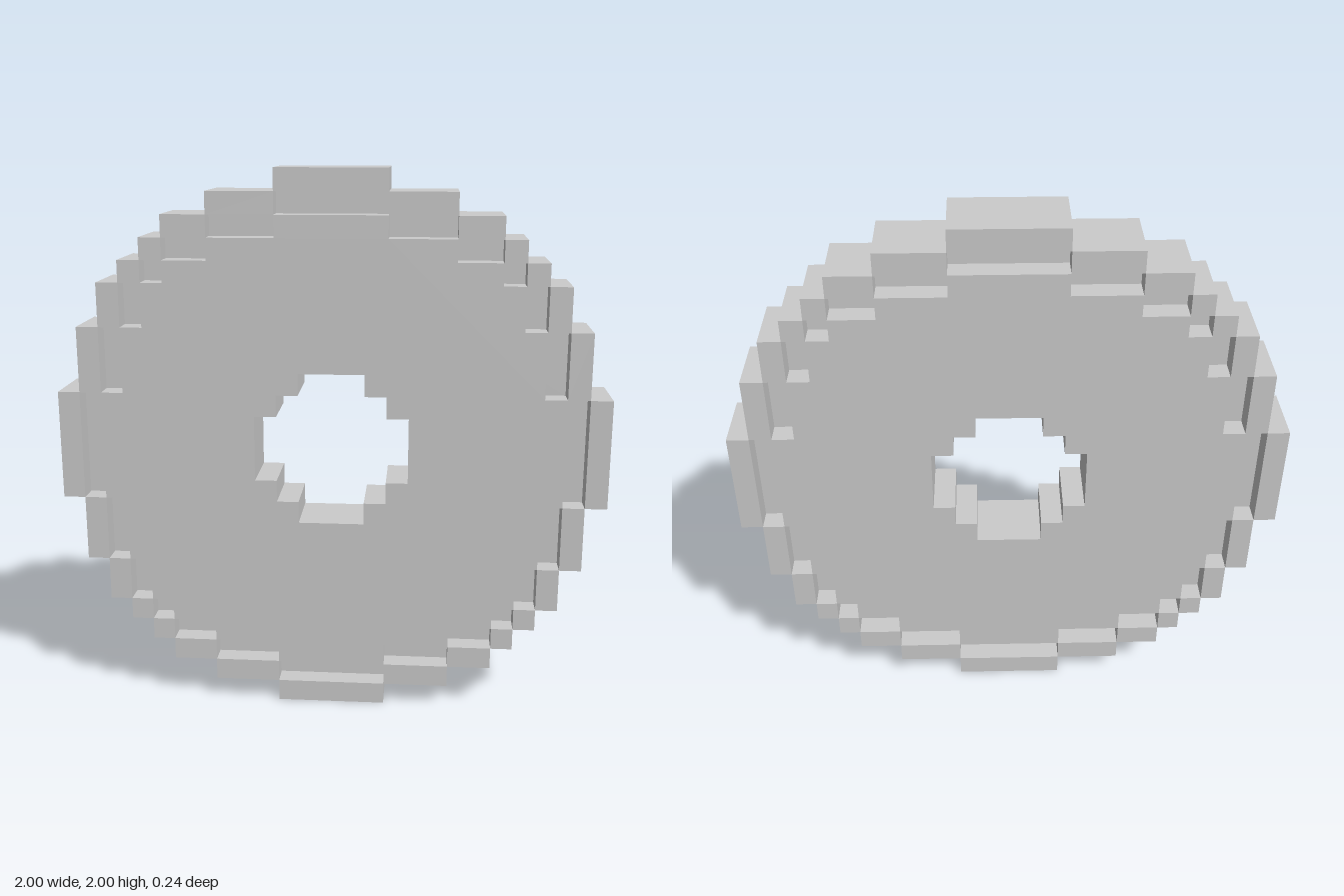
import * as THREE from 'three';

const material = new THREE.MeshStandardMaterial({ color: 0xcccccc, flatShading: true });
const WIDTH = 0.24;
const CENTRE_Y = 1;

// Stair-step outline corners: these half-widths pair with themselves in reverse as half-heights
const RIM = [0.2, 0.44, 0.6, 0.68, 0.76, 0.84, 0.92, 1];
const WEB = [0.2, 0.44, 0.6, 0.68, 0.76, 0.84, 0.92];
const DISC = [0.2, 0.44, 0.6, 0.68, 0.76, 0.84];
const HUB = [0.12, 0.2, 0.28];

// Closed stepped outline, symmetrical in all four quadrants
function steppedOutline(steps) {
  const n = steps.length;
  const quarter = [];
  for (let i = n - 1; i >= 0; i--) {
    quarter.push([steps[i], steps[n - 1 - i]]);
    if (i > 0) quarter.push([steps[i - 1], steps[n - 1 - i]]);
  }
  const points = [];
  for (let q = 0; q < 4; q++) {
    for (const [x, y] of quarter) {
      const p = [[x, y], [-y, x], [-x, -y], [y, -x]][q];
      points.push(new THREE.Vector2(p[0], p[1]));
    }
  }
  return points;
}

// Plate of a given thickness with a hole, centred on z = 0
function plate(name, steps, hole, depth) {
  const shape = new THREE.Shape(steppedOutline(steps));
  shape.holes.push(hole);
  const geometry = new THREE.ExtrudeGeometry(shape, { depth, bevelEnabled: false });
  geometry.translate(0, 0, -depth / 2);
  const mesh = new THREE.Mesh(geometry, material);
  mesh.name = name;
  mesh.position.y = CENTRE_Y;
  return mesh;
}

export function createModel() {
  const wheel = new THREE.Group();
  wheel.name = 'blockWheel';

  // Full-width disc with the stepped axle hole
  wheel.add(plate('disc', DISC, new THREE.Path(steppedOutline(HUB)), WIDTH));

  // Thin web forming the groove floor between disc and rim
  const webHole = new THREE.Path().absarc(0, 0, 0.5, 0, Math.PI * 2, true);
  wheel.add(plate('grooveWeb', WEB, webHole, WIDTH / 3));

  // Rim of separate blocks stepping around the wheel
  const rim = new THREE.Group();
  rim.name = 'rim';
  const n = RIM.length;
  for (let i = 0; i < n; i++) {
    const x0 = i === 0 ? -RIM[0] : RIM[i - 1];
    const x1 = RIM[i];
    const y1 = RIM[n - 1 - i];
    const y0 = i === n - 1 ? -y1 : RIM[n - 2 - i];
    const geometry = new THREE.BoxGeometry(x1 - x0, y1 - y0, WIDTH);
    for (const sx of i === 0 ? [1] : [1, -1]) {
      for (const sy of i === n - 1 ? [1] : [1, -1]) {
        const block = new THREE.Mesh(geometry, material);
        block.name = 'rimBlock';
        block.position.set(sx * (x0 + x1) / 2, CENTRE_Y + sy * (y0 + y1) / 2, 0);
        rim.add(block);
      }
    }
  }
  wheel.add(rim);
  return wheel;
}
